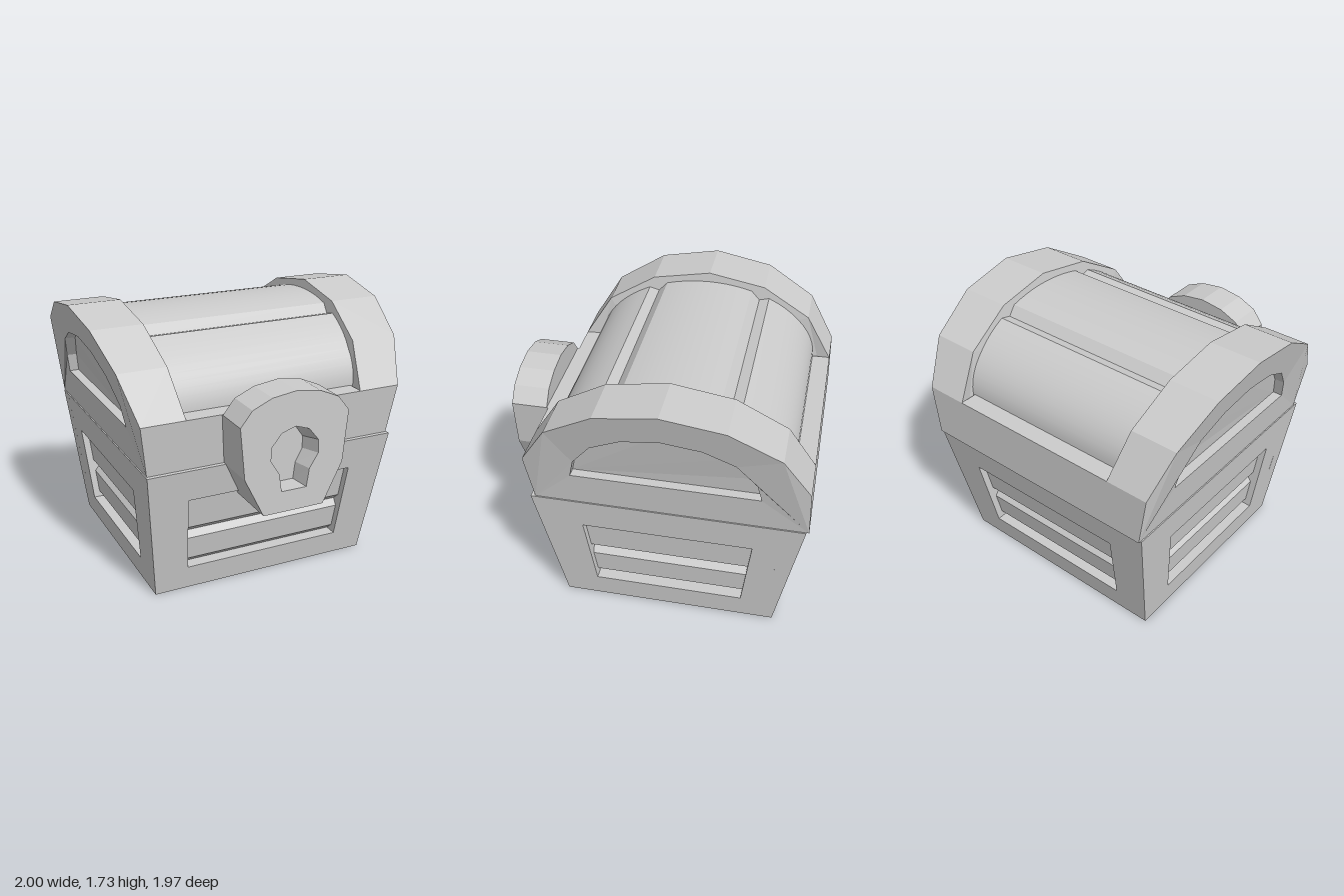
import * as THREE from 'three';
import { toCreasedNormals } from 'three/addons/utils/BufferGeometryUtils.js';

const MID = -0.115; // z of the chest's middle
const BASE_H = 0.88, RIM_Y = 1.205;

const material = new THREE.MeshStandardMaterial({ color: 0xcccccc, side: THREE.DoubleSide });
const vectors = (pts) => pts.map(([x, y]) => new THREE.Vector2(x, y));
const trapezoid = (w0, w1, y0, y1) => [[-w0, y0], [w0, y0], [w1, y1], [-w1, y1]];

function mesh(name, geometry) {
  const m = new THREE.Mesh(geometry, material);
  m.name = name;
  return m;
}

function extrude(outline, hole, depth) {
  const shape = new THREE.Shape(vectors(outline));
  if (hole) shape.holes.push(new THREE.Path(vectors(hole)));
  return new THREE.ExtrudeGeometry(shape, { depth, bevelEnabled: false });
}

// Move every vertex by a rule, then refresh the flat normals
function reshape(geometry, rule) {
  const p = geometry.attributes.position;
  const v = new THREE.Vector3();
  for (let i = 0; i < p.count; i++) {
    v.fromBufferAttribute(p, i);
    rule(v);
    p.setXYZ(i, v.x, v.y, v.z);
  }
  geometry.computeVertexNormals();
  return geometry;
}

// Extrude a (z, y) profile along x, centred
const prism = (profile, width) =>
  extrude(profile, null, width).translate(0, 0, -width / 2).rotateY(-Math.PI / 2);

// Leaning frame with an opening, and two grooved planks set into it
function wall(name, { outline, hole, slope, groove }) {
  const group = new THREE.Group();
  group.name = name;
  const lean = (v) => { v.z += slope * v.y; };
  const y0 = hole[0][1], y1 = hole[2][1];
  const width = 2 * Math.max(hole[1][0], hole[2][0]) + 0.06;
  const face = -0.045, deep = -0.085, back = -0.13, b = 0.042;
  const planks = [
    [back, y0 - 0.03], [deep, y0 - 0.03], [deep, y0], [face, y0 + b],
    [face, groove - b], [deep, groove], [face, groove + b],
    [face, y1 + 0.02], [back, y1 + 0.02],
  ];
  group.add(
    mesh('wallFrame', reshape(extrude(outline, hole, 0.1).translate(0, 0, -0.1), lean)),
    mesh('wallPlanks', reshape(prism(planks, width), lean)),
  );
  return group;
}

function createBase() {
  const base = new THREE.Group();
  base.name = 'base';
  const long = {
    outline: trapezoid(0.74, 0.83, 0, BASE_H),
    hole: trapezoid(0.53, 0.56, 0.16, 0.67), slope: 0.18, groove: 0.4,
  };
  const short = {
    outline: trapezoid(0.69, 0.848, 0, BASE_H),
    hole: trapezoid(0.478, 0.535, 0.16, 0.67), slope: 0.102, groove: 0.4,
  };
  [['frontWall', long, 0.69], ['leftWall', short, 0.74],
    ['backWall', long, 0.69], ['rightWall', short, 0.74]].forEach(([name, spec, out], i) => {
    const w = wall(name, spec);
    w.rotation.y = i * Math.PI / 2;
    w.position.set(0, 0, MID).add(
      new THREE.Vector3(0, 0, out).applyAxisAngle(new THREE.Vector3(0, 1, 0), w.rotation.y));
    base.add(w);
  });
  // Underside, built like a wall and laid flat
  const floor = wall('floor', {
    outline: trapezoid(0.74, 0.74, 0, 1.38),
    hole: trapezoid(0.57, 0.57, 0.2, 1.18), slope: 0, groove: 0.69,
  });
  floor.rotation.x = Math.PI / 2;
  floor.position.z = MID - 0.69;
  base.add(floor);
  return base;
}

function createLid() {
  const lid = new THREE.Group();
  lid.name = 'lid';
  const bottom = [[-0.98, 0.88], [0.705, 0.875]];
  const arch = [[0.745, RIM_Y], [0.57, 1.48], [0.265, 1.66], [MID, 1.725],
    [-0.49, 1.66], [-0.8, 1.48], [-0.97, RIM_Y]];
  const recess = [[0.46, 1.11], [0.43, 1.235], [0.31, 1.39], [0.12, 1.485], [MID, 1.52],
    [-0.35, 1.485], [-0.54, 1.39], [-0.66, 1.235], [-0.69, 1.11]];

  // End bands flare outward toward the top
  const outer = (y) => (y < RIM_Y ? 0.822 + 0.13 * (y - BASE_H) : 0.865 + 0.26 * (y - RIM_Y));
  const inner = (y) => 0.585 + 0.144 * Math.max(0, y - RIM_Y);
  const flare = (side) => (v) => {
    const x = THREE.MathUtils.lerp(inner(v.y), outer(v.y), v.z);
    v.set(side * x, v.y, v.x);
  };
  for (const [side, name] of [[1, 'left'], [-1, 'right']]) {
    // Mirroring the profile order keeps the faces pointing outward
    const bandShape = extrude([...bottom, ...arch], recess, 1);
    const floorShape = extrude(recess, null, 0.77);
    for (const [g, part] of [[bandShape, 'Band'], [floorShape, 'BandPanel']]) {
      if (side > 0) {
        const p = g.attributes.position;
        for (let i = 0; i < p.count; i += 3) {
          for (const get of ['X', 'Y', 'Z']) {
            const t = p['get' + get](i);
            p['set' + get](i, p['get' + get](i + 1));
            p['set' + get](i + 1, t);
          }
        }
      }
      lid.add(mesh(name + part, reshape(g, flare(side))));
    }
  }

  // Rail under the barrel
  lid.add(mesh('lidRail', prism([...bottom, arch[0], arch[6]], 1.18)));

  // Curved planks with two V grooves
  const barrel = [];
  const rise = (o) => RIM_Y + 0.46 * Math.sqrt(Math.max(0, 1 - (o / 0.74) ** 2));
  const span = (from, to, n) => {
    for (let i = 0; i <= n; i++) {
      const a = THREE.MathUtils.lerp(Math.acos(from / 0.74), Math.acos(to / 0.74), i / n);
      const o = 0.74 * Math.cos(a);
      barrel.push([MID + o, rise(o)]);
    }
  };
  barrel.push([MID - 0.74, 1.1], [MID + 0.74, 1.1]);
  span(0.74, 0.41, 10);
  barrel.push([MID + 0.345, rise(0.345) - 0.04]);
  span(0.29, -0.29, 10);
  barrel.push([MID - 0.345, rise(0.345) - 0.04]);
  span(-0.41, -0.74, 10);
  lid.add(mesh('lidPlanks', toCreasedNormals(prism(barrel, 1.4), 0.35)));
  return lid;
}

function createLock() {
  const lock = new THREE.Group();
  lock.name = 'lock';
  const lower = [[-0.355, RIM_Y], [-0.325, 0.88], [-0.2, 0.625], [0.2, 0.625], [0.325, 0.88], [0.355, RIM_Y]];
  const crown = [[0.28, 1.3], [0.155, 1.355], [0, 1.377], [-0.155, 1.355], [-0.28, 1.3]];
  const keyhole = [[-0.083, 0.76], [0.083, 0.76], [0.1, 0.875], [0.157, 0.965], [0.155, 1.05],
    [0.09, 1.13], [0, 1.16], [-0.09, 1.13], [-0.155, 1.05], [-0.157, 0.965], [-0.1, 0.875]];
  const front = 0.985, back = 0.755, floorZ = 0.85;

  // The keyhole narrows toward its floor
  const narrow = (v) => {
    const inHole = keyhole.some(([x, y]) => Math.hypot(v.x - x, v.y - y) < 1e-4);
    if (inHole && v.z < front - 0.01) {
      v.x *= 0.8;
      v.y = 0.76 + (v.y - 0.76) * 0.93;
    }
  };
  lock.add(
    mesh('lockPlate', reshape(
      extrude([...lower, ...crown], keyhole, front - floorZ).translate(0, 0, floorZ), narrow)),
    mesh('lockBack', extrude([...lower, ...crown], null, floorZ - back).translate(0, 0, back)),
    // Mount reaching back to the chest wall
    mesh('lockMount', extrude(lower, null, back - 0.62).translate(0, 0, 0.62)),
  );
  lock.position.x = -0.005;
  return lock;
}

export function createModel() {
  const chest = new THREE.Group();
  chest.name = 'chest';
  chest.add(createBase(), createLid(), createLock());
  return chest;
}
